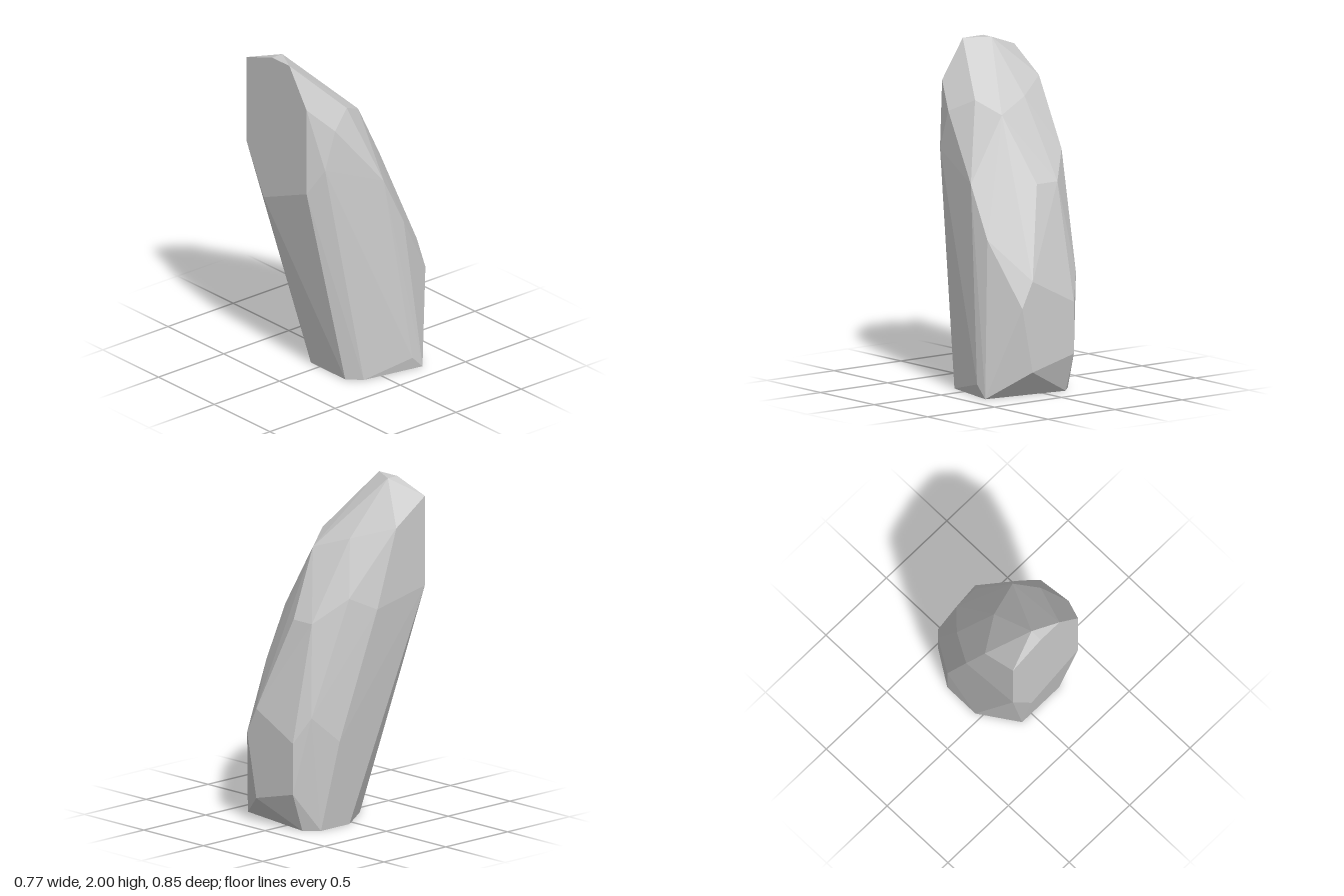
import * as THREE from 'three';
import { ConvexGeometry } from 'three/addons/geometries/ConvexGeometry.js';

// Corners lie on a regular grid of this step.
const STEP = 1 / 13;

// Corner groups in grid units: [x, y, z]
const base = [
  [-1, 0, 2.5], [3, 0, 2.5], [4, 0, 1.5], [5, 0, -3.5],
  [-2, 0, -4.5], [-3, 0, -3.5], [-3, 0, -0.5], [5, 1, -2.5],
];
const frontFace = [
  [-5, 25, 5.5], [-2, 26, 5.5], [0, 26, 5.5], [2, 23, 5.5],
  [2, 16, 5.5], [-3, 14, 5.5], [-5, 18, 5.5],
];
const backFace = [
  [2, 2, -5.5], [3, 7, -5.5], [2, 9, -5.5], [-2, 7, -5.5], [-2, 3, -5.5],
];
const leftFlank = [
  [3, 21, 3.5], [3, 18, 4.5], [4, 16, -0.5], [4, 12, -2.5],
];
const rightFlank = [
  [-5, 23, 2.5], [-5, 17, 0.5], [-4, 18, -1.5], [-4, 7, -2.5], [-3, 9, -4.5],
];
const slopingTop = [
  [-2, 26, 4.5], [2, 22, 1.5], [1, 21, -0.5], [-2, 22, 0.5],
  [0, 16, -3.5], [-2, 16, -3.5],
];

export function createModel() {
  const group = new THREE.Group();
  group.name = 'facetedRock';

  // Flat facets stretched over all the corners
  const corners = [base, frontFace, backFace, leftFlank, rightFlank, slopingTop]
    .flat()
    .map(([x, y, z]) => new THREE.Vector3(x, y, z).multiplyScalar(STEP));
  const rock = new THREE.Mesh(
    new ConvexGeometry(corners),
    new THREE.MeshStandardMaterial({ color: 0xcccccc, flatShading: true })
  );
  rock.name = 'rock';
  group.add(rock);
  return group;
}
